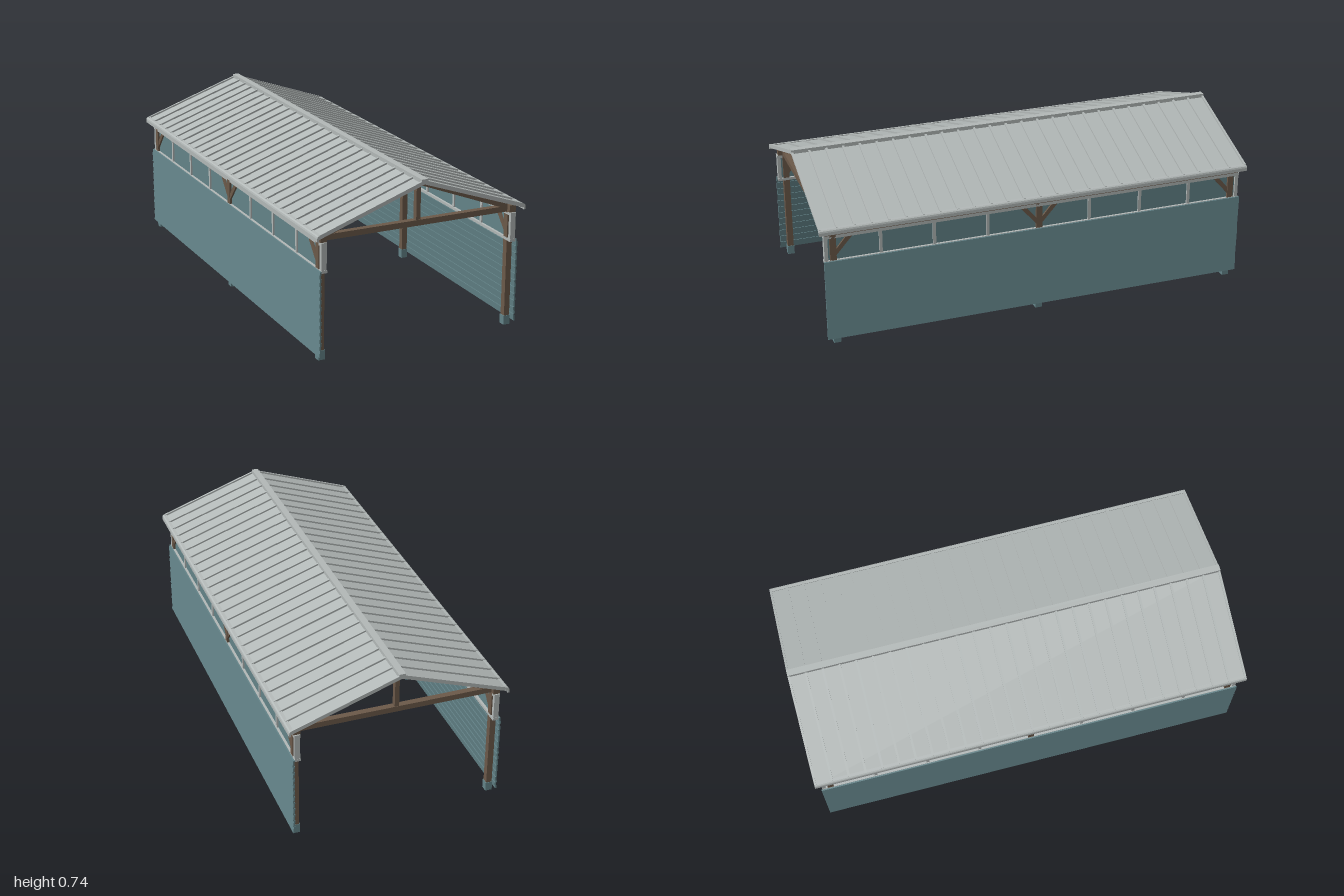
import * as THREE from 'three';

const material = (name, color) => {
  const m = new THREE.MeshStandardMaterial({ color });
  m.name = name;
  return m;
};

export function createModel() {
  const model = new THREE.Group();
  model.name = 'openShed';
  const metal = material('paleGreyMetal', 0xb2b8b7);
  const timber = material('brownTimber', 0x6b5949);
  const teal = material('tealPaint', 0x638388);

  const add = (parent, name, geometry, mat) => {
    const mesh = new THREE.Mesh(geometry, mat);
    mesh.name = name;
    parent.add(mesh);
    return mesh;
  };
  // Box given by its lower and upper corners
  const box = (parent, name, mat, [x0, y0, z0], [x1, y1, z1]) => {
    const g = new THREE.BoxGeometry(x1 - x0, y1 - y0, z1 - z0);
    g.translate((x0 + x1) / 2, (y0 + y1) / 2, (z0 + z1) / 2);
    return add(parent, name, g, mat);
  };
  // Outline in x and y, extruded along z around a centre
  const prism = (parent, name, mat, points, depth, z = 0) => {
    const shape = new THREE.Shape(points.map(p => new THREE.Vector2(...p)));
    const g = new THREE.ExtrudeGeometry(shape, { depth, bevelEnabled: false });
    g.translate(0, 0, z - depth / 2);
    return add(parent, name, g, mat);
  };

  const frames = [-0.936, 0, 0.936];

  // Side walls, each built for its own side s
  for (const s of [-1, 1]) {
    const wall = new THREE.Group();
    wall.name = s > 0 ? 'leftWall' : 'rightWall';
    model.add(wall);
    const slab = (name, mat, xa, xb, y0, y1, z0, z1) =>
      box(wall, name, mat, [Math.min(s * xa, s * xb), y0, z0], [Math.max(s * xa, s * xb), y1, z1]);

    // Lapped siding boards
    const boards = 12, pitch = 0.375 / boards;
    for (let i = 0; i < boards; i++) {
      const y = 0.025 + i * pitch;
      prism(wall, 'sidingBoard', teal,
        [[0.464, y], [0.471, y], [0.467, y + pitch], [0.46, y + pitch]].map(([x, h]) => [s * x, h]), 1.96);
    }

    // Posts with painted feet and diagonal braces
    for (const z of frames) {
      slab('post', timber, 0.434, 0.46, 0.04, 0.525, z - 0.014, z + 0.014);
      slab('postFoot', teal, 0.431, 0.462, 0, 0.042, z - 0.016, z + 0.016);
      for (const d of [-1, 1]) {
        if (z * d > 0) continue;
        const shape = new THREE.Shape([[0, 0.408], [0, 0.436], [d * 0.072, 0.522], [d * 0.1, 0.522]]
          .map(p => new THREE.Vector2(...p)));
        const g = new THREE.ExtrudeGeometry(shape, { depth: 0.022, bevelEnabled: false });
        g.translate(0, 0, -0.011).rotateY(-Math.PI / 2).translate(s * 0.447, 0, z);
        add(wall, 'brace', g, timber);
      }
    }

    // Clerestory band: panel, rails and mullions
    slab('clerestoryPanel', teal, 0.444, 0.45, 0.4, 0.508, -0.965, 0.965);
    slab('sillRail', metal, 0.433, 0.461, 0.39, 0.402, -0.976, 0.976);
    slab('headRail', metal, 0.434, 0.46, 0.506, 0.521, -0.976, 0.976);
    for (const z of [0.24, 0.484, 0.725])
      for (const d of [-1, 1])
        slab('mullion', metal, 0.437, 0.457, 0.4, 0.508, d * z - 0.007, d * z + 0.007);
    for (const z of [-0.967, 0.967])
      slab('endJamb', metal, 0.435, 0.459, 0.4, 0.508, z - 0.008, z + 0.008);

    // Wall plate
    slab('wallPlate', timber, 0.431, 0.461, 0.521, 0.553, -0.97, 0.97);
  }

  // Roof trusses
  for (const z of frames) {
    const truss = new THREE.Group();
    truss.name = 'truss';
    model.add(truss);
    box(truss, 'tieBeam', timber, [-0.435, 0.521, z - 0.014], [0.435, 0.546, z + 0.014]);
    box(truss, 'kingPost', timber, [-0.01, 0.54, z - 0.012], [0.01, 0.705, z + 0.012]);
    for (const s of [-1, 1])
      prism(truss, 'rafter', timber,
        [[0, 0.719], [0, 0.699], [0.395, 0.546], [0.44, 0.546], [0.44, 0.552]].map(([x, y]) => [s * x, y]), 0.028, z);
  }

  // Roof sheets, eave trim and standing seams
  const roof = new THREE.Group();
  roof.name = 'roof';
  model.add(roof);
  const top = x => 0.725 - 0.35 * x;
  for (const s of [-1, 1]) {
    const mirror = pts => pts.map(([x, y]) => [s * x, y]);
    prism(roof, 'roofSheet', metal,
      mirror([[0, top(0)], [0.484, top(0.484)], [0.484, top(0.484) - 0.011], [0, top(0) - 0.011]]), 1.996);
    prism(roof, 'eaveTrim', metal,
      mirror([[0.47, top(0.47) + 0.004], [0.483, 0.563], [0.488, 0.559], [0.49, 0.552], [0.49, 0.538],
        [0.482, 0.538], [0.482, 0.549], [0.47, 0.553]]), 2);
    for (let i = 0; i <= 26; i++) {
      const z = -0.995 + i * 1.99 / 26;
      prism(roof, 'standingSeam', metal,
        mirror([[0, top(0) + 0.008], [0.48, top(0.48) + 0.008], [0.48, top(0.48) - 0.002], [0, top(0) - 0.002]]), 0.01, z);
    }
  }
  prism(roof, 'ridgeCap', metal,
    [[-0.015, 0.718], [0, 0.724], [0.015, 0.718], [0.015, 0.737], [-0.015, 0.737]], 2);

  return model;
}
